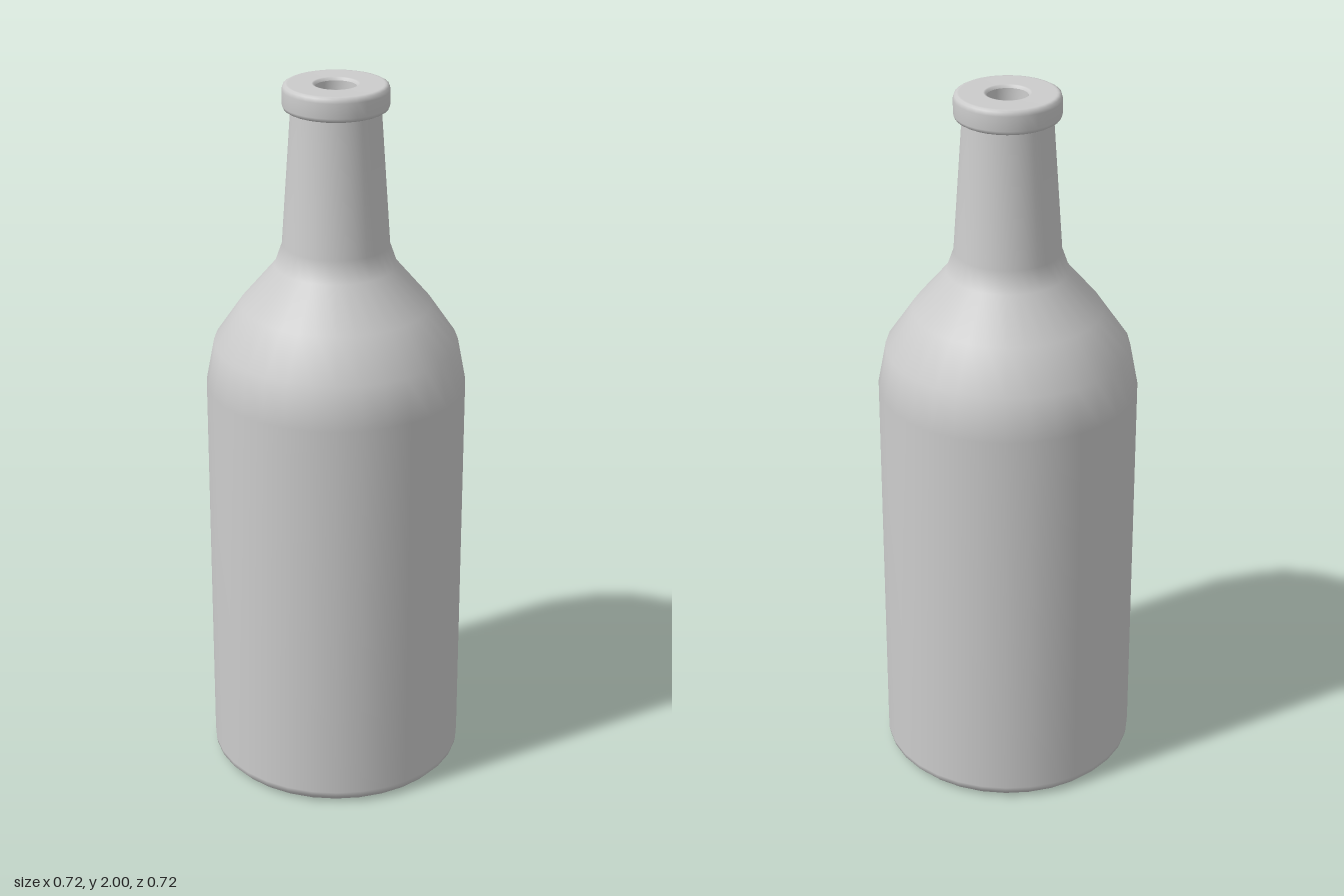
import * as THREE from 'three';

const SIDES = 32;

// Turns a list of [radius, height] pairs into a smooth surface of revolution
function turned(name, profile, material) {
  const points = profile.map(([r, y]) => new THREE.Vector2(r, y));
  const mesh = new THREE.Mesh(new THREE.LatheGeometry(points, SIDES), material);
  mesh.name = name;
  return mesh;
}

export function createModel() {
  const group = new THREE.Group();
  group.name = 'bottle';
  const glass = new THREE.MeshStandardMaterial({ color: 0xcccccc });

  // Base, straight body, sloping shoulder and tapered neck
  group.add(turned('body', [
    [0, 0], [0.32, 0], [0.34, 0.004], [0.355, 0.02], [0.358, 0.035],
    [0.358, 1.16], [0.335, 1.28], [0.26, 1.39], [0.167, 1.5],
    [0.146, 1.56], [0.12, 1.94],
  ], glass));

  // Rounded collar around the mouth, with its flat top
  group.add(turned('lip', [
    [0.115, 1.932], [0.132, 1.932], [0.139, 1.936], [0.143, 1.945],
    [0.143, 1.985], [0.14, 1.996], [0.133, 2], [0.128, 2],
    [0.064, 2], [0.059, 1.999], [0.055, 1.992],
  ], glass));

  // Recessed mouth: inner wall and floor
  group.add(turned('mouth', [
    [0.055, 1.992], [0.053, 1.93], [0.05, 1.922], [0.045, 1.92], [0, 1.92],
  ], glass));

  return group;
}
